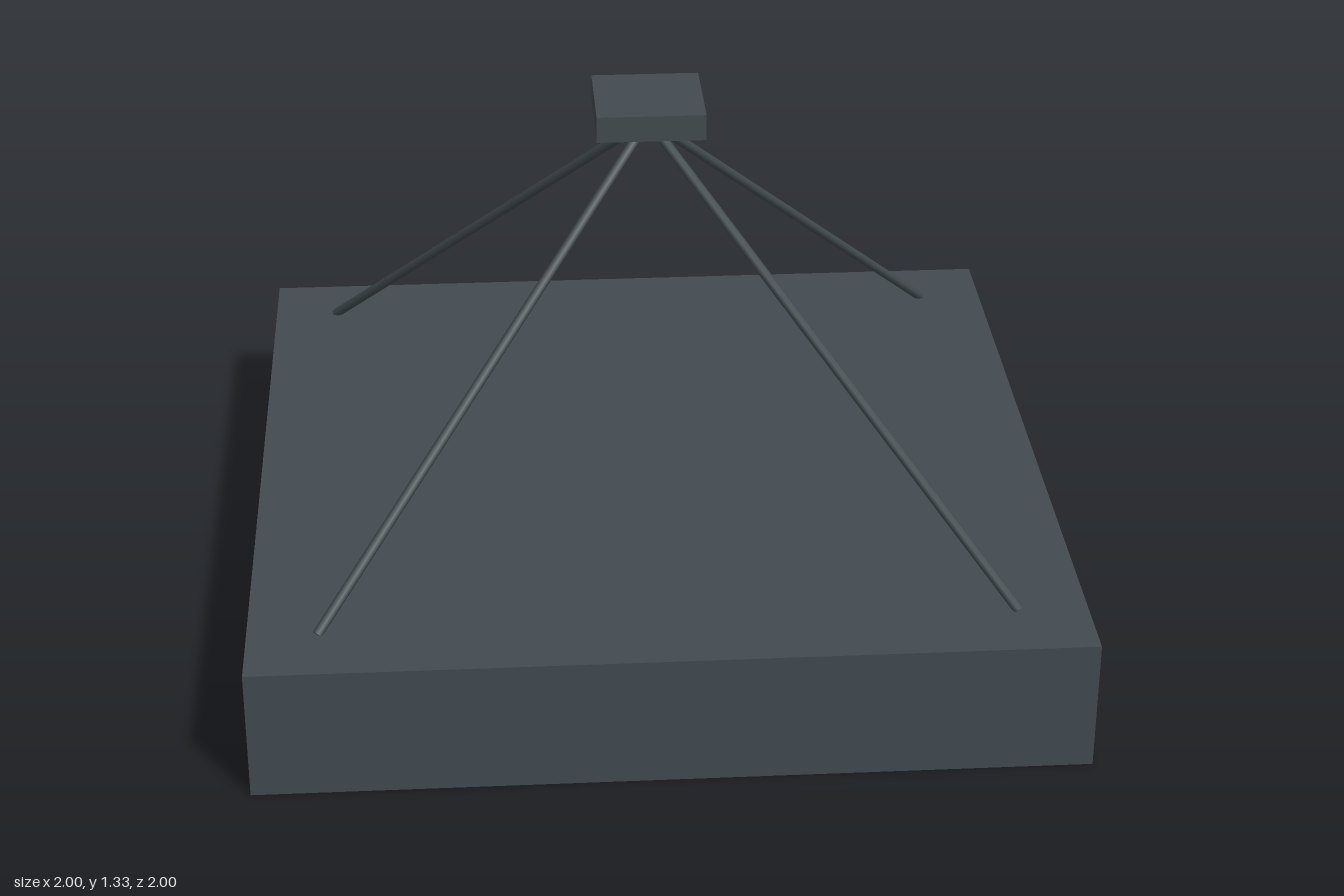
import * as THREE from 'three';

const SIZE = 2, HEIGHT = 0.333, APEX = 1.267;
const BAR = 0.08, CELL = 0.4, RECESS = 0.055;

export function createModel() {
  const model = new THREE.Group();
  model.name = 'pendantLamp';
  const metal = new THREE.MeshStandardMaterial({ color: 0x424b50 });
  metal.name = 'slateMetal';
  const glow = new THREE.MeshStandardMaterial({ color: 0xc8ac80 });
  glow.name = 'warmDiffuser';

  const add = (name, geometry, material, x = 0, y = 0, z = 0) => {
    const mesh = new THREE.Mesh(geometry, material);
    mesh.name = name;
    mesh.position.set(x, y, z);
    model.add(mesh);
    return mesh;
  };

  // Upper part of the square housing
  const upper = HEIGHT - RECESS;
  add('housing', new THREE.BoxGeometry(SIZE, upper, SIZE), metal, 0, RECESS + upper / 2, 0);

  // Underside grille with a 4 x 4 grid of pockets, each closed by a diffuser
  const h = SIZE / 2;
  const rect = (path, x0, y0, x1, y1) =>
    path.moveTo(x0, y0).lineTo(x1, y0).lineTo(x1, y1).lineTo(x0, y1).closePath();
  const grille = new THREE.Shape();
  rect(grille, -h, -h, h, h);
  const panel = new THREE.BoxGeometry(CELL, 0.006, CELL);
  for (let i = 0; i < 4; i++) {
    for (let j = 0; j < 4; j++) {
      const x = -h + BAR + i * (CELL + BAR);
      const z = -h + BAR + j * (CELL + BAR);
      const hole = new THREE.Path();
      rect(hole, x, z, x + CELL, z + CELL);
      grille.holes.push(hole);
      add('diffuser', panel, glow, x + CELL / 2, RECESS - 0.003, z + CELL / 2);
    }
  }
  const grilleGeometry = new THREE.ExtrudeGeometry(grille, { depth: RECESS, bevelEnabled: false });
  grilleGeometry.rotateX(-Math.PI / 2);
  add('grille', grilleGeometry, metal);

  // Four suspension rods meeting under the ceiling mount
  const apex = new THREE.Vector3(0, APEX, 0);
  const up = new THREE.Vector3(0, 1, 0);
  for (const sx of [-1, 1]) {
    for (const sz of [-1, 1]) {
      const foot = new THREE.Vector3(sx * 0.833, HEIGHT, sz * 0.833);
      const dir = apex.clone().sub(foot);
      const rod = add('suspensionRod', new THREE.CylinderGeometry(0.0125, 0.0125, dir.length(), 8), metal);
      rod.position.copy(foot).add(apex).multiplyScalar(0.5);
      rod.quaternion.setFromUnitVectors(up, dir.normalize());
    }
  }

  // Square ceiling mount
  add('ceilingMount', new THREE.BoxGeometry(0.267, 0.066, 0.267), metal, 0, APEX + 0.033, 0);

  return model;
}
